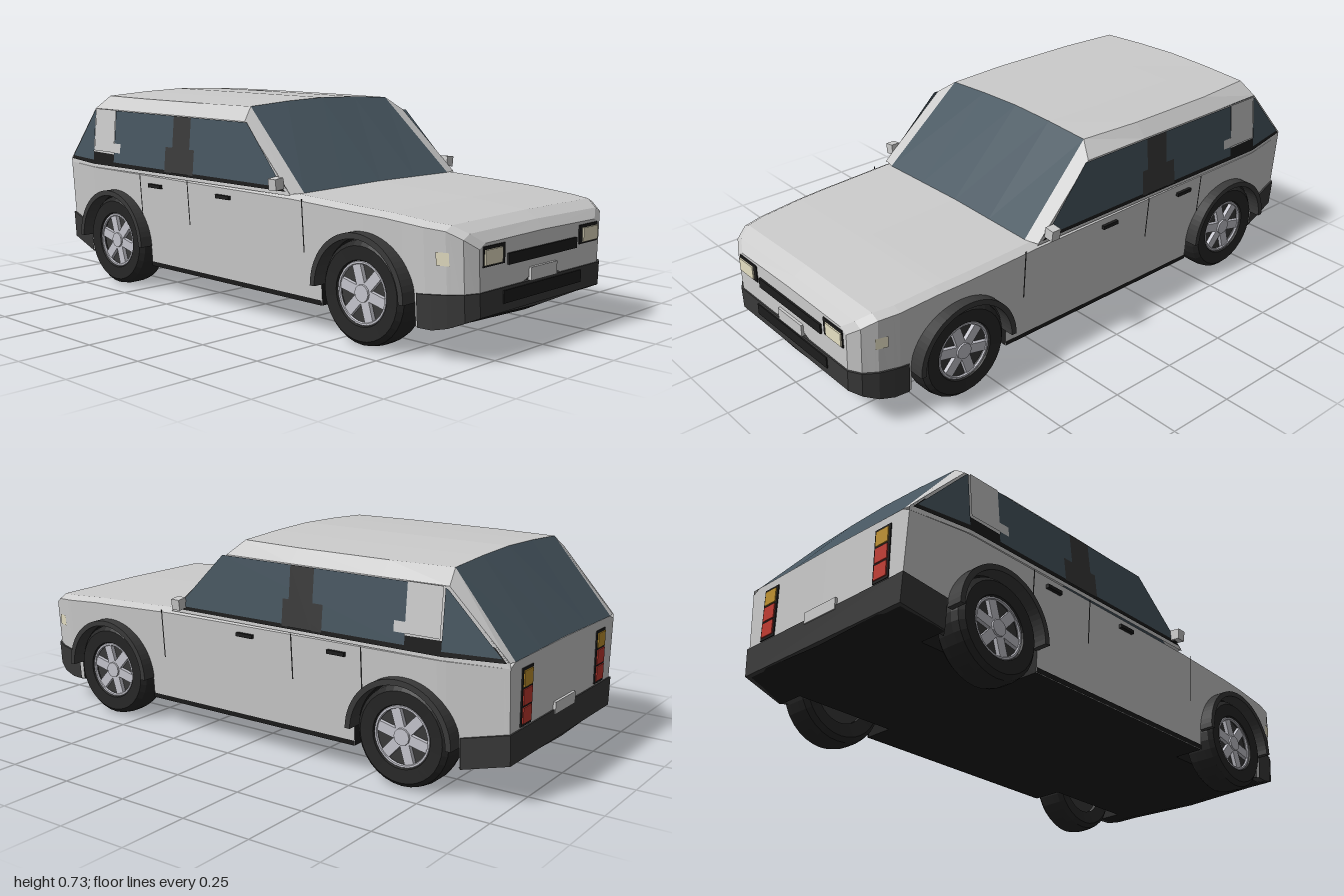
import * as THREE from 'three';

const mat = (color) => new THREE.MeshStandardMaterial({ color, flatShading: true, side: THREE.DoubleSide });
const paint = mat(0xcccccc), dark = mat(0x3a3a3a), black = mat(0x1c1c1c), glass = mat(0x475660);
const cream = mat(0xe6e0c4), plateMat = mat(0xd8d8d4), red = mat(0xc23a30), amber = mat(0xc0922e);
const silver = mat(0xc4c4cc), rubber = mat(0x262626);

const WHEEL_Z = [0.62, -0.645], WHEEL_Y = 0.17, ARCH_R = 0.19;

// Piecewise-linear lookup; tables run from the nose (+z) to the tail
function lookup(table, z) {
  if (z >= table[0][0]) return table[0][1];
  for (let i = 1; i < table.length; i++) {
    const [z0, v0] = table[i - 1], [z1, v1] = table[i];
    if (z >= z1) return v0 + (v1 - v0) * (z - z0) / (z1 - z0);
  }
  return table[table.length - 1][1];
}
const PLAN = [[0.99, 0.78], [0.965, 0.88], [0.92, 0.94], [0.85, 0.975], [0.6, 1], [-0.78, 1], [-0.99, 0.91]];
const BELT = [[0.99, 0.36], [0.965, 0.39], [0.92, 0.413], [0.7, 0.43], [0.32, 0.445], [-0.99, 0.455]];
const BASE = [[0.99, 0.14], [0.93, 0.11], [0.87, 0.095], [-0.83, 0.095], [-0.97, 0.13], [-0.99, 0.135]];
// Half width of the flank: leans out to the belt line, then in towards the roof
const sideX = (y, z) => lookup(PLAN, z) * (y < 0.45 ? 0.4 + (y - 0.1) * 0.07 : 0.4245 - (y - 0.45) * 0.09);

// Surface through rows of [x, y, z] points
function loft(rows) {
  const pos = rows.flat(2), idx = [], n = rows[0].length;
  for (let i = 0; i < rows.length - 1; i++)
    for (let j = 0; j < n - 1; j++) {
      const a = i * n + j, b = a + n;
      idx.push(a, b, a + 1, a + 1, b, b + 1);
    }
  const g = new THREE.BufferGeometry();
  g.setAttribute('position', new THREE.Float32BufferAttribute(pos, 3));
  g.setIndex(idx);
  const flat = g.toNonIndexed();
  flat.computeVertexNormals();
  return flat;
}
const mirrorRow = (half) => [...half, ...half.slice().reverse().map(([x, y, z]) => [-x, y, z])];

export function createModel() {
  const car = new THREE.Group();
  car.name = 'car';
  const add = (name, geo, material, parent = car) => {
    const m = new THREE.Mesh(geo, material);
    m.name = name;
    parent.add(m);
    return m;
  };
  const box = (name, w, h, d, x, y, z, material) => {
    const m = add(name, new THREE.BoxGeometry(w, h, d), material);
    m.position.set(x, y, z);
    return m;
  };
  // Flat patch of [z, y] corners laid on both flanks
  const sidePatch = (name, pts, off, material) => {
    for (const s of [1, -1]) {
      const g = new THREE.ShapeGeometry(new THREE.Shape(pts.map(([z, y]) => new THREE.Vector2(z, y))));
      const p = g.attributes.position;
      for (let i = 0; i < p.count; i++) {
        const z = p.getX(i), y = p.getY(i);
        p.setXYZ(i, s * (sideX(y, z) + off), y, z);
      }
      g.computeVertexNormals();
      add(name, g, material);
    }
  };
  const rect = (z0, z1, y0, y1) => [[z0, y0], [z1, y0], [z1, y1], [z0, y1]];

  // Stations along the car, with the lower edge following the wheel arches
  const stations = [];
  const plain = (...zs) => zs.forEach((z) => stations.push([z, lookup(BASE, z)]));
  const arch = (cz) => {
    plain(cz + ARCH_R);
    for (let i = 0; i <= 14; i++) {
      const a = Math.PI * i / 14;
      stations.push([cz + ARCH_R * Math.cos(a), WHEEL_Y + ARCH_R * Math.sin(a)]);
    }
    plain(cz - ARCH_R);
  };
  plain(0.99, 0.965, 0.93, 0.92, 0.87, 0.85);
  arch(WHEEL_Z[0]);
  plain(0.32, 0, -0.4);
  arch(WHEEL_Z[1]);
  plain(-0.9, -0.97, -0.99);

  // Painted lower body with closed nose and tail
  const bodyRows = stations.map(([z, yb]) => {
    const top = lookup(BELT, z), x = sideX(top, z);
    return mirrorRow([[sideX(yb, z), yb, z], [sideX(top - 0.015, z), top - 0.015, z], [x - 0.03, top, z], [0, top + 0.004, z]]);
  });
  const cap = (z) => bodyRows[0].map(() => [0, 0.25, z]);
  add('body', loft([cap(0.99), ...bodyRows, cap(-0.99)]), paint);

  // Floor and wheel wells
  add('underbody', loft(stations.map(([z, yb]) => {
    const f = lookup(BASE, z);
    return mirrorRow([[sideX(yb, z), yb, z], [0.29, yb, z], [0.29, f, z], [0, f - 0.01, z]]);
  })), black);
  sidePatch('sill', rect(0.43, -0.455, 0.095, 0.112), 0.003, black);

  // Wrap-around bumpers
  const bumper = (name, zs, yTop, yEnd) => {
    const end = zs[zs.length - 1], dir = Math.sign(end);
    const half = zs.map((z) => {
      const t = (z - zs[0]) / (end - zs[0]);
      const y = yEnd + (yTop - yEnd) * t, b = lookup(BASE, z), zo = z + dir * 0.005 * t;
      const x = sideX(y, z), xb = sideX(b, z);
      return [[x - 0.01, y, z - dir * 0.01], [x + 0.006, y, zo], [xb + 0.006, b, zo], [xb - 0.02, b - 0.004, z - dir * 0.02]];
    });
    const other = half.slice().reverse().map((r) => r.map(([x, y, z]) => [-x, y, z]));
    add(name, loft([...half, ...other]), dark);
  };
  bumper('frontBumper', [0.82, 0.87, 0.92, 0.965, 0.99], 0.215, 0.2);
  bumper('rearBumper', [-0.84, -0.9, -0.97, -0.99], 0.235, 0.2);

  // Nose details
  box('grille', 0.37, 0.035, 0.014, 0, 0.298, 0.99, black);
  box('lowerIntake', 0.42, 0.04, 0.01, 0, 0.186, 0.994, black);
  box('frontPlate', 0.14, 0.042, 0.012, 0, 0.235, 0.993, plateMat);
  box('rearPlate', 0.15, 0.04, 0.012, 0, 0.24, -0.993, plateMat);
  for (const s of [1, -1]) {
    box('headlightHousing', 0.105, 0.062, 0.012, s * 0.255, 0.32, 0.988, black);
    box('headlight', 0.085, 0.046, 0.014, s * 0.262, 0.318, 0.992, cream);
    // Tail lamp cluster
    box('tailLightHousing', 0.07, 0.185, 0.01, s * 0.275, 0.333, -0.989, black);
    [red, red, amber].forEach((m, i) =>
      box('tailLight', 0.056, 0.051, 0.014, s * 0.275, 0.275 + i * 0.058, -0.991, m));
    // Door mirror
    box('mirrorArm', 0.03, 0.015, 0.02, s * 0.42, 0.465, 0.26, black);
    const mirror = box('mirror', 0.036, 0.038, 0.035, s * 0.442, 0.477, 0.26, paint);
    mirror.rotation.z = s * -0.12;
    for (const z of [-0.022, -0.397]) box('doorHandle', 0.014, 0.013, 0.068, s * 0.426, 0.402, z, black);
  }
  sidePatch('sideMarker', rect(0.93, 0.89, 0.295, 0.335), 0.004, cream);
  for (const [z, y] of [[0.36, 0.26], [-0.215, 0.28], [-0.49, 0.29]])
    sidePatch('doorSeam', rect(z + 0.0025, z - 0.0025, y, 0.437), 0.002, black);

  // Cabin: roof with bevelled edges, then pillars around the glass
  const edge = [[0.035, 0.345, 0.07], [-0.2, 0.362, -0.2], [-0.55, 0.362, -0.55], [-0.775, 0.345, -0.79]];
  add('roof', loft(edge.map(([z, x, zs]) => mirrorRow([
    [sideX(0.665, zs), 0.665, zs], [x, 0.711, z], [x * 0.5, 0.721, z], [0, 0.726, z]]))), paint);
  sidePatch('cabinSide', [[0.31, 0.44], [-0.78, 0.44], [-0.78, 0.665], [0.07, 0.665]], 0, paint);
  sidePatch('cabinSideRear', [[-0.78, 0.44], [-0.99, 0.44], [-0.99, 0.455], [-0.79, 0.665], [-0.78, 0.665]], 0, paint);

  const screen = (name, zb, yb, xb, zt, zs, zsb) => {
    add(name, loft([
      mirrorRow([[xb, yb, zb], [xb * 0.5, yb, zb], [0, yb, zb]]),
      mirrorRow([[0.345, 0.711, zt], [0.1725, 0.721, zt], [0, 0.726, zt]])]), glass);
    for (const s of [1, -1])
      add(name + 'Pillar', loft([
        [[s * xb, yb, zb], [s * sideX(yb, zsb), yb, zsb]],
        [[s * 0.345, 0.711, zt], [s * sideX(0.665, zs), 0.665, zs]]]), paint);
  };
  screen('windscreen', 0.32, 0.445, 0.372, 0.035, 0.07, 0.307);
  screen('rearWindow', -0.99, 0.455, 0.355, -0.775, -0.79, -0.985);

  // Side glass and trim layers
  sidePatch('beltTrim', [[0.29, 0.452], [-0.78, 0.452], [-0.78, 0.5], [0.24, 0.48]], 0.002, black);
  sidePatch('beltTrimRear', [[-0.78, 0.452], [-0.98, 0.455], [-0.94, 0.5], [-0.78, 0.5]], 0.002, black);
  sidePatch('sideWindow', [[0.275, 0.465], [-0.65, 0.468], [-0.65, 0.663], [0.085, 0.663]], 0.004, glass);
  sidePatch('quarterWindow', [[-0.78, 0.468], [-0.965, 0.468], [-0.79, 0.655], [-0.78, 0.66]], 0.004, glass);
  sidePatch('centrePillar', rect(-0.205, -0.3, 0.46, 0.663), 0.006, dark);
  sidePatch('centrePillarFoot', rect(-0.18, -0.34, 0.46, 0.55), 0.005, dark);
  sidePatch('rearPillar', [[-0.61, 0.505], [-0.775, 0.505], [-0.775, 0.665], [-0.65, 0.665], [-0.65, 0.54], [-0.61, 0.54]], 0.006, paint);

  // Wheels and arch flares
  const tyreGeo = new THREE.LatheGeometry([[0.1, -0.05], [0.15, -0.06], [0.165, -0.045], [0.17, -0.02], [0.17, 0.02],
    [0.165, 0.045], [0.15, 0.06], [0.105, 0.056], [0.1, 0.045]].map(([r, h]) => new THREE.Vector2(r, h)), 32);
  const flareShape = new THREE.Shape();
  flareShape.absarc(0, 0, 0.193, 0, Math.PI, false);
  flareShape.absarc(0, 0, 0.174, Math.PI, 0, true);
  const flareGeo = new THREE.ExtrudeGeometry(flareShape, { depth: 0.055, bevelEnabled: false, curveSegments: 16 });
  for (const s of [1, -1])
    for (const z of WHEEL_Z) {
      const wheel = new THREE.Group();
      wheel.name = 'wheel';
      wheel.position.set(s * 0.37, WHEEL_Y, z);
      wheel.rotation.z = -s * Math.PI / 2;
      car.add(wheel);
      add('tyre', tyreGeo, rubber, wheel);
      add('rimBack', new THREE.CylinderGeometry(0.1, 0.1, 0.07, 24), dark, wheel);
      const rim = add('rimRing', new THREE.TorusGeometry(0.097, 0.006, 6, 28), silver, wheel);
      rim.rotation.x = Math.PI / 2;
      rim.position.y = 0.047;
      add('hub', new THREE.CylinderGeometry(0.028, 0.032, 0.03, 12), silver, wheel).position.y = 0.04;
      for (let i = 0; i < 6; i++) {
        const a = i * Math.PI / 3 + 0.3;
        const spoke = add('spoke', new THREE.BoxGeometry(0.085, 0.018, 0.034), silver, wheel);
        spoke.position.set(Math.cos(a) * 0.055, 0.04, -Math.sin(a) * 0.055);
        spoke.rotation.y = a;
      }
      const flare = add('archFlare', flareGeo, dark);
      flare.rotation.y = s * Math.PI / 2;
      flare.position.set(s * 0.4, WHEEL_Y, z);
    }
  return car;
}
